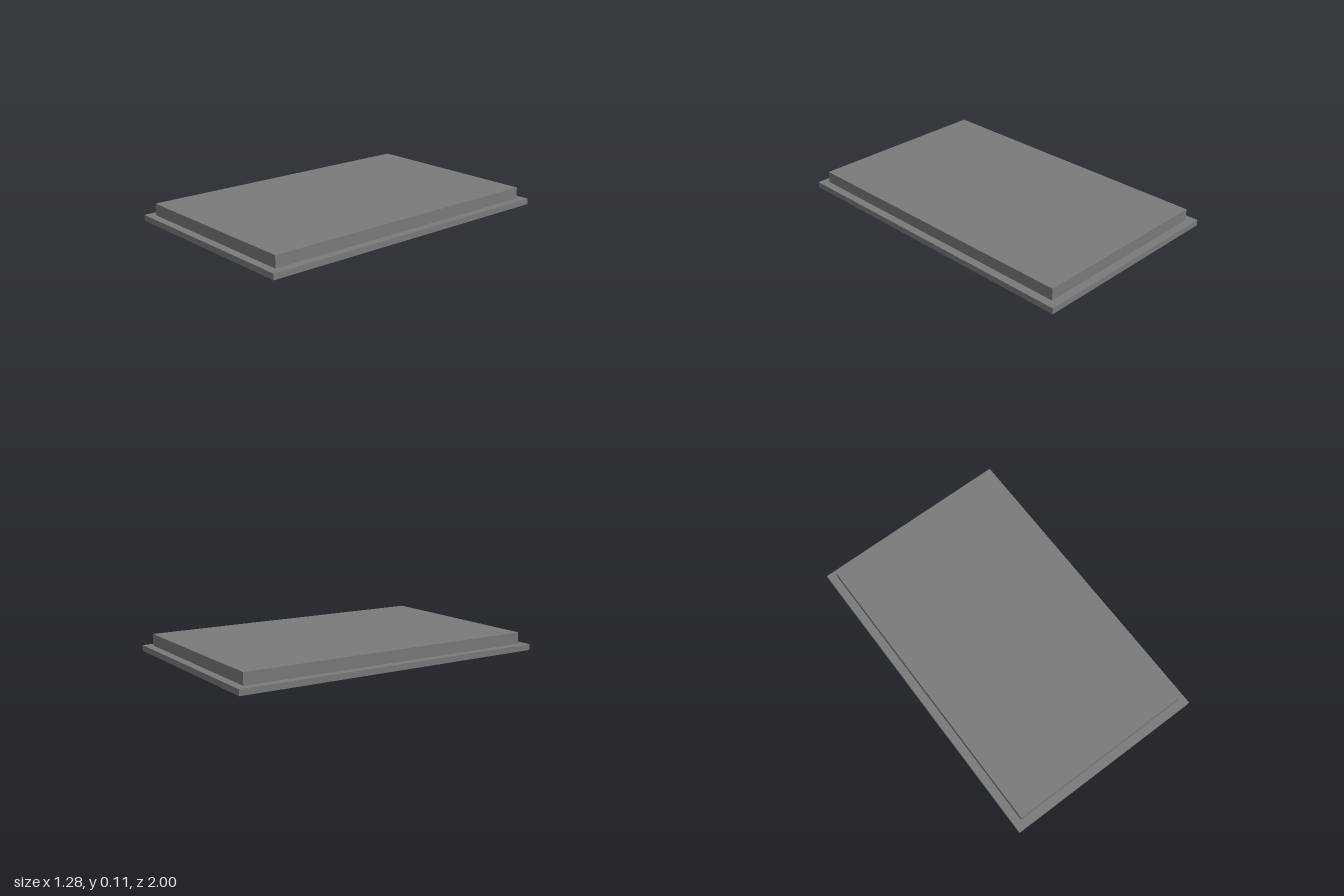
import * as THREE from 'three';

const LAYER = 0.036; // thickness of each of the three stacked layers

export function createModel() {
  const group = new THREE.Group();
  const material = new THREE.MeshStandardMaterial({ color: 0x7b7b7b });

  // Rectangle as corner points, centred on (cx, cy)
  const rect = (w, h, cx = 0, cy = 0) =>
    [[-1, -1], [1, -1], [1, 1], [-1, 1]].map(([i, j]) => new THREE.Vector2(cx + i * w / 2, cy + j * h / 2));

  // Flat horizontal plate with a list of rectangular openings
  const addPlate = (name, width, length, y, openings = []) => {
    const shape = new THREE.Shape(rect(width, length));
    shape.holes = openings.map((points) => new THREE.Path(points));
    const geometry = new THREE.ExtrudeGeometry(shape, { depth: LAYER, bevelEnabled: false });
    geometry.rotateX(-Math.PI / 2);
    const mesh = new THREE.Mesh(geometry, material);
    mesh.name = name;
    mesh.position.y = y;
    group.add(mesh);
  };

  // Two pockets in the underside, narrowed by a fine ledge in the slab
  const pockets = (inset) => [-1, 1].map((side) => rect(1.024 - 2 * inset, 0.79 - 2 * inset, 0, side * 0.465));

  // Wide base flange, then the raised slab: pocketed lower half and solid top
  addPlate('baseFlange', 1.28, 2, 0, pockets(0));
  addPlate('slabFrame', 1.18, 1.9, LAYER, pockets(0.01));
  addPlate('slabTop', 1.18, 1.9, 2 * LAYER);

  return group;
}
